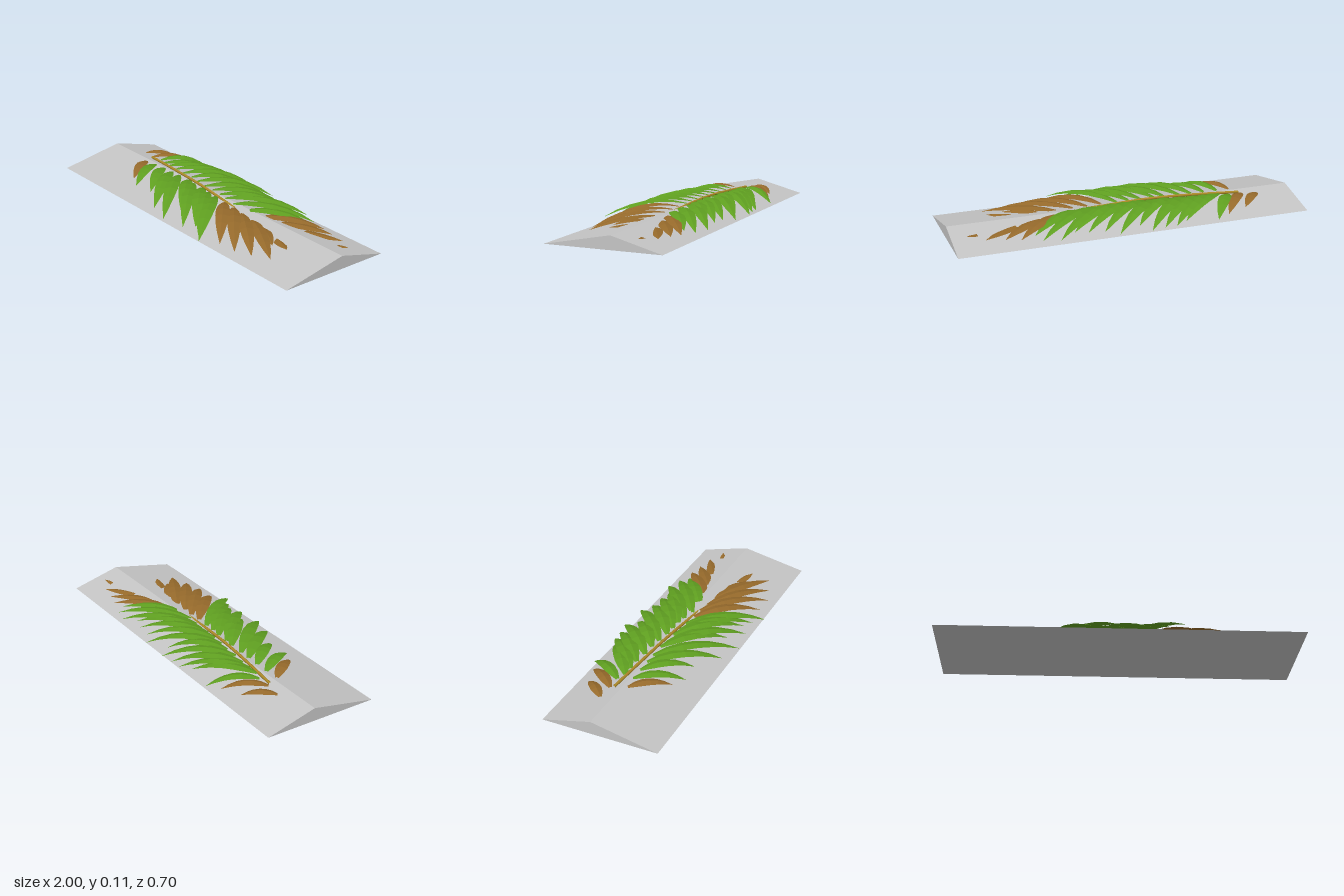
import * as THREE from 'three';

const mat = (name, color, opts = {}) => {
  const m = new THREE.MeshStandardMaterial({ color, ...opts });
  m.name = name;
  return m;
};

const HALF = 0.325, RIDGE_Z = -0.045, RIDGE_Y = 0.073;

// Height of the sloping base surface at a given z
const ground = z => Math.max(0, z > RIDGE_Z
  ? RIDGE_Y * (HALF - z) / (HALF - RIDGE_Z)
  : RIDGE_Y * (z + HALF) / (RIDGE_Z + HALF));

// Each leaflet: base x, base z, tip x, tip z
const FRONT = [
  [-0.65, -0.02, -0.51, 0.17], [-0.57, -0.03, -0.43, 0.21], [-0.49, -0.03, -0.30, 0.20],
  [-0.41, -0.03, -0.14, 0.29], [-0.34, -0.03, 0.00, 0.33], [-0.25, -0.03, 0.05, 0.24],
  [-0.19, -0.02, 0.15, 0.31], [-0.11, -0.02, 0.21, 0.27], [-0.04, -0.01, 0.27, 0.30],
  [0.03, -0.01, 0.34, 0.35], [0.12, 0.00, 0.43, 0.28], [0.20, 0.00, 0.55, 0.28],
  [0.28, 0.01, 0.65, 0.25], [0.37, 0.01, 0.75, 0.21], [0.46, 0.02, 0.66, 0.12],
  [0.56, 0.03, 0.75, 0.10],
];
const BACK = [
  [-0.78, -0.11, -0.65, -0.25], [-0.69, -0.10, -0.53, -0.29], [-0.61, -0.10, -0.45, -0.33],
  [-0.56, -0.08, -0.27, -0.30], [-0.50, -0.08, -0.20, -0.335], [-0.43, -0.08, -0.13, -0.34],
  [-0.35, -0.07, -0.05, -0.355], [-0.27, -0.07, 0.00, -0.29], [-0.20, -0.06, 0.13, -0.345],
  [-0.12, -0.05, 0.20, -0.30], [-0.05, -0.05, 0.29, -0.29], [0.02, -0.05, 0.36, -0.27],
  [0.08, -0.04, 0.45, -0.32], [0.16, -0.03, 0.54, -0.29], [0.26, -0.03, 0.57, -0.24],
  [0.36, -0.04, 0.65, -0.26], [0.45, -0.05, 0.73, -0.24], [0.53, -0.05, 0.83, -0.22],
  [0.72, -0.08, 0.92, -0.17],
];

// Arched blade with a raised midrib, rounded base and pointed tip
const WIDTHS = [0.3, 0.78, 1, 0.98, 0.82, 0.5, 0];
function leafGeometry([bx, bz, tx, tz]) {
  const dx = tx - bx, dz = tz - bz, len = Math.hypot(dx, dz);
  const nx = -dz / len, nz = dx / len;
  const half = Math.min(0.038, 0.02 + len * 0.05);
  const y0 = 0.08 - 0.05 * (bx + 0.25) ** 2;
  const rise = Math.max(0.03, 0.165 - 0.25 * (bx + 0.2) ** 2);
  const tipY = ground(tz) + (bx > 0.1 ? 0.01 : 0.02);
  const pos = [], index = [];
  WIDTHS.forEach((w, i) => {
    const t = i / (WIDTHS.length - 1);
    const y = y0 + rise * t + (tipY - y0 - rise) * t * t;
    for (const side of [-1, 0, 1]) {
      const o = side * w * half;
      pos.push(bx + dx * t + nx * o, y - Math.abs(side) * w * 0.009, bz + dz * t + nz * o);
    }
    if (i === 0) return;
    for (let j = 0; j < 2; j++) {
      const a = (i - 1) * 3 + j, c = i * 3 + j;
      index.push(a, a + 1, c, a + 1, c + 1, c);
    }
  });
  const g = new THREE.BufferGeometry();
  g.setAttribute('position', new THREE.Float32BufferAttribute(pos, 3));
  g.setIndex(index);
  g.computeVertexNormals();
  return g;
}

export function createModel() {
  const model = new THREE.Group();
  model.name = 'fernFrond';
  const stone = mat('grey', 0xc4c4c4);
  const green = mat('leafGreen', 0x5f9f20, { side: THREE.DoubleSide, flatShading: true });
  const brown = mat('dryBrown', 0x966a2b, { side: THREE.DoubleSide, flatShading: true });
  const tan = mat('stemTan', 0xb08c28);
  const add = (parent, name, geometry, material) => {
    const mesh = new THREE.Mesh(geometry, material);
    mesh.name = name;
    parent.add(mesh);
  };

  // Low ridge-shaped base running along x
  const profile = new THREE.Shape([
    new THREE.Vector2(-HALF, 0), new THREE.Vector2(HALF, 0), new THREE.Vector2(-RIDGE_Z, RIDGE_Y),
  ]);
  const base = new THREE.ExtrudeGeometry(profile, { depth: 2, bevelEnabled: false });
  base.translate(0, 0, -1).rotateY(Math.PI / 2);
  add(model, 'base', base, stone);

  // Stem that sinks into the ridge at its far end
  const path = new THREE.CatmullRomCurve3([
    new THREE.Vector3(-0.68, 0.07, -0.085), new THREE.Vector3(-0.4, 0.079, -0.058),
    new THREE.Vector3(-0.15, 0.08, -0.037), new THREE.Vector3(0.2, 0.06, -0.012),
  ]);
  add(model, 'stem', new THREE.TubeGeometry(path, 16, 0.008, 6), tan);

  // Leaflets on both sides; the outermost ones are dry
  const addLeaves = (name, rows, isDry) => {
    const group = new THREE.Group();
    group.name = name;
    rows.forEach((row, i) => add(group, 'leaflet', leafGeometry(row), isDry(row, i) ? brown : green));
    model.add(group);
  };
  addLeaves('frontLeaflets', FRONT, (r, i) => i < 1 || r[0] > 0.1);
  addLeaves('backLeaflets', BACK, (r, i) => i < 2 || r[0] > 0.3);
  return model;
}
